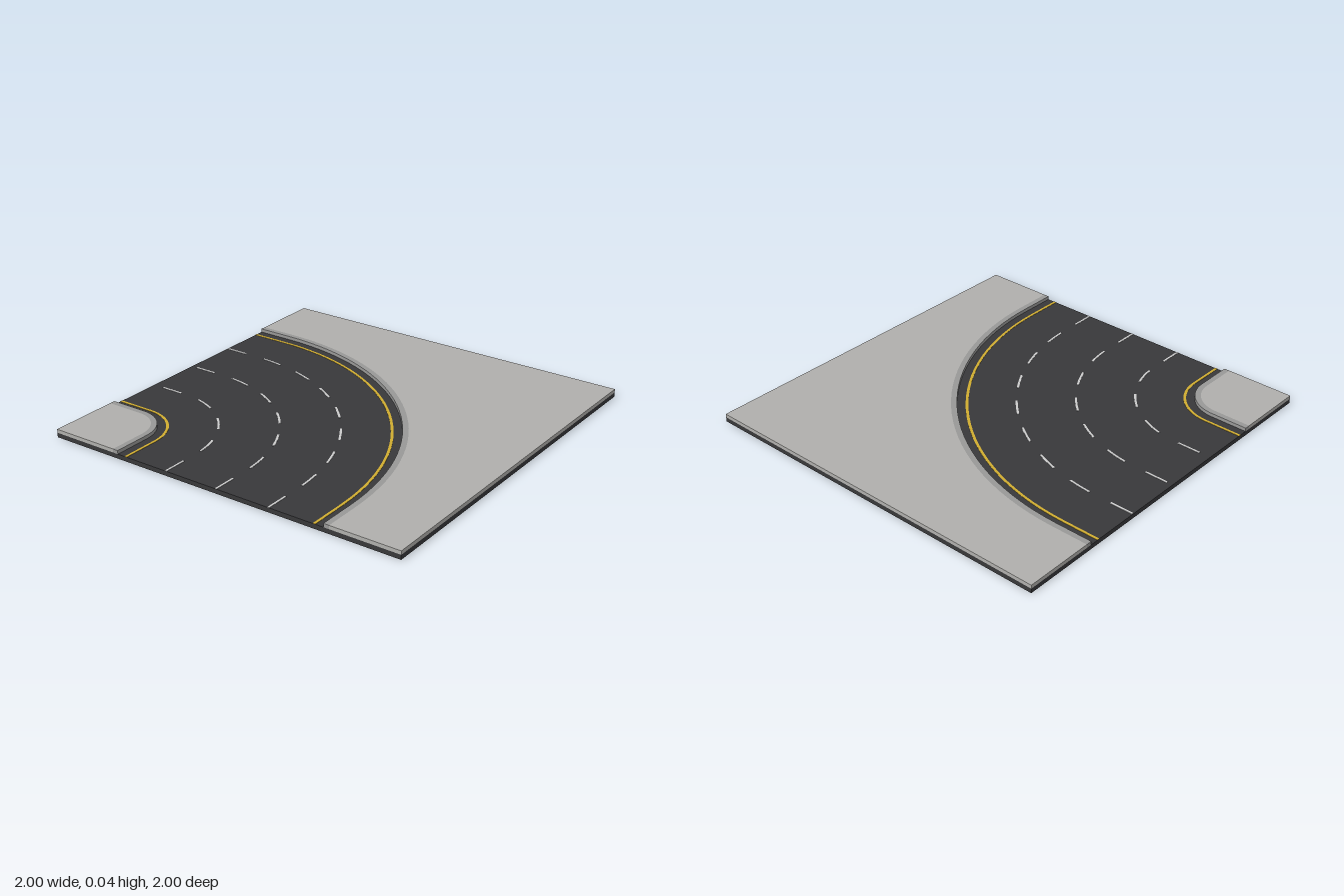
import * as THREE from 'three';

const BEND = -0.8;          // centre of the bend in x and z
const LEAD = 0.2;           // straight run at each end
const ROAD_TOP = 0.024, WALK_TOP = 0.043, MARK_TOP = 0.0255;
const ARC_STEPS = 32;

const paint = (color) => new THREE.MeshStandardMaterial({ color });
const asphalt = paint(0x38383a);
const concrete = paint(0xb0afac);
const curbGrey = paint(0x989897);
const yellow = paint(0xd0ac30);
const white = paint(0xd4d4d2);

const laneLength = (r) => 2 * LEAD + r * Math.PI / 2;

// Point at distance s along the lane of radius r, shifted outwards by off
function lanePoint(r, s, off = 0) {
  const arc = r * Math.PI / 2;
  const a = THREE.MathUtils.clamp((s - LEAD) / r, 0, Math.PI / 2);
  const before = Math.min(s - LEAD, 0);
  const after = Math.max(s - LEAD - arc, 0);
  return new THREE.Vector2(
    BEND + (r + off) * Math.sin(a) + before,
    BEND + (r + off) * Math.cos(a) - after);
}

// Distances between s0 and s1, including every arc joint in between
function stations(r, s0, s1) {
  const list = [s0];
  for (let i = 0; i <= ARC_STEPS; i++) {
    const s = LEAD + (r * Math.PI / 2) * i / ARC_STEPS;
    if (s > s0 + 1e-5 && s < s1 - 1e-5) list.push(s);
  }
  return [...list, s1];
}

// Plan outline (x, z) raised into a slab
function slab(name, points, bottom, top, material) {
  const geometry = new THREE.ExtrudeGeometry(new THREE.Shape(points), {
    depth: top - bottom, bevelEnabled: false,
  });
  geometry.rotateX(Math.PI / 2).translate(0, top, 0);
  const mesh = new THREE.Mesh(geometry, material);
  mesh.name = name;
  return mesh;
}

// Strip of constant width following a lane
function strip(name, r, width, s0, s1, bottom, top, material) {
  const list = stations(r, s0, s1);
  const outer = list.map((s) => lanePoint(r, s, width / 2));
  const inner = list.map((s) => lanePoint(r, s, -width / 2)).reverse();
  return slab(name, [...outer, ...inner], bottom, top, material);
}

export function createModel() {
  const model = new THREE.Group();
  model.name = 'roadCorner';

  // Road bed
  const road = new THREE.Mesh(new THREE.BoxGeometry(2, ROAD_TOP, 2), asphalt);
  road.name = 'roadBed';
  road.position.y = ROAD_TOP / 2;
  model.add(road);

  // Pavements either side of the bend
  const edge = (r) => stations(r, 0, laneLength(r)).map((s) => lanePoint(r, s));
  const corner = (x, z) => new THREE.Vector2(x, z);
  model.add(
    slab('outerPavement', [...edge(1.43), corner(1, -1), corner(1, 1), corner(-1, 1)],
      ROAD_TOP, WALK_TOP, concrete),
    slab('innerPavement', [...edge(0.17), corner(-1, -1)], ROAD_TOP, WALK_TOP, concrete));

  // Curbs and solid edge lines
  for (const [side, curbR, lineR] of [['inner', 0.185, 0.25], ['outer', 1.415, 1.35]]) {
    model.add(
      strip(side + 'Curb', curbR, 0.03, 0, laneLength(curbR), ROAD_TOP, WALK_TOP, curbGrey),
      strip(side + 'EdgeLine', lineR, 0.014, 0, laneLength(lineR), ROAD_TOP, MARK_TOP, yellow));
  }

  // Dashed lane dividers
  [0.5, 0.8, 1.1].forEach((r, i) => {
    const divider = new THREE.Group();
    divider.name = 'laneDivider' + (i + 1);
    for (let s = 0; s + 0.125 <= laneLength(r); s += 0.25) {
      divider.add(strip('dash', r, 0.011, s, s + 0.125, ROAD_TOP, MARK_TOP, white));
    }
    model.add(divider);
  });

  return model;
}
